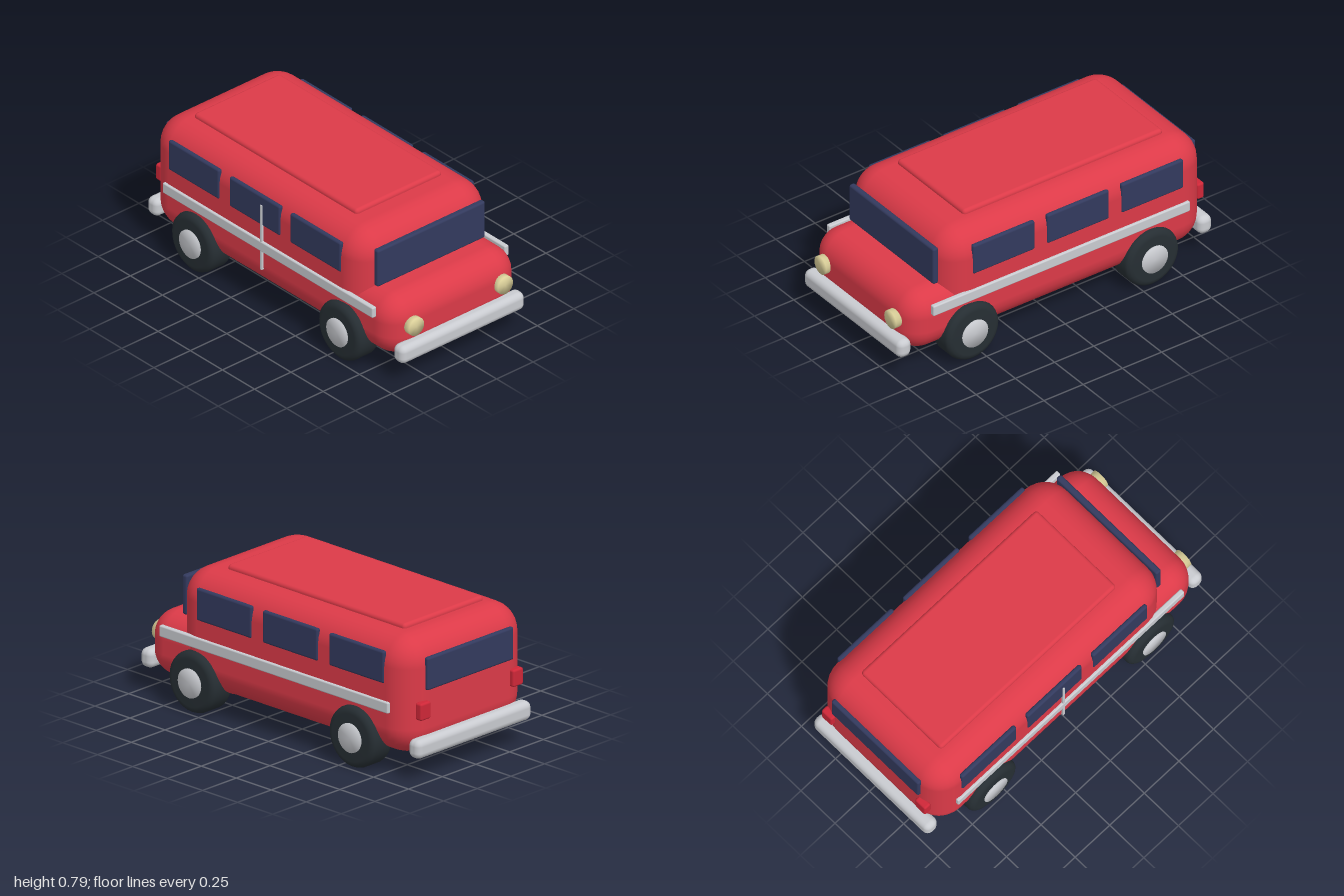
import * as THREE from 'three';
import { RoundedBoxGeometry } from 'three/addons/geometries/RoundedBoxGeometry.js';
import { mergeVertices } from 'three/addons/utils/BufferGeometryUtils.js';

function material(name, color) {
  const m = new THREE.MeshStandardMaterial({ color });
  m.name = name;
  return m;
}

export function createModel() {
  const red = material('body red', 0xdc3a48);
  const lampRed = material('tail lamp red', 0xcf2738);
  const glass = material('dark blue glass', 0x333a5e);
  const chrome = material('chrome', 0xc9cbd0);
  const rubber = material('rubber', 0x262e33);
  const cream = material('headlight cream', 0xdbd09a);

  const van = new THREE.Group();
  van.name = 'van';

  function add(name, geometry, mat, x = 0, y = 0, z = 0, parent = van) {
    const mesh = new THREE.Mesh(geometry, mat);
    mesh.name = name;
    mesh.position.set(x, y, z);
    parent.add(mesh);
    return mesh;
  }

  // Rounded box given by its extents along each axis
  function block(name, mat, [x0, x1], [y0, y1], [z0, z1], radius, segments = 3) {
    const geometry = new RoundedBoxGeometry(x1 - x0, y1 - y0, z1 - z0, segments, radius);
    return add(name, geometry, mat, (x0 + x1) / 2, (y0 + y1) / 2, (z0 + z1) / 2);
  }

  // Short cylinder with softened normals, so that it shades like a dome
  function softDisc(radius, depth) {
    const g = new THREE.CylinderGeometry(radius, radius, depth, 32);
    g.deleteAttribute('normal');
    g.deleteAttribute('uv');
    const soft = mergeVertices(g);
    soft.computeVertexNormals();
    return soft;
  }

  // Body shell, bonnet and raised roof panel
  block('cabin', red, [-0.95, 0.72], [0.11, 0.765], [-0.455, 0.455], 0.16, 4);
  block('bonnet', red, [0.25, 0.945], [0.11, 0.47], [-0.447, 0.447], 0.14, 4);
  block('roofPanel', red, [-0.775, 0.495], [0.74, 0.79], [-0.295, 0.295], 0.02);

  // Front and rear glass
  block('windscreen', glass, [0.71, 0.745], [0.47, 0.69], [-0.37, 0.37], 0.012);
  block('rearWindow', glass, [-0.965, -0.935], [0.48, 0.66], [-0.32, 0.32], 0.012);

  // Side windows and trim
  for (const side of [1, -1]) {
    const span = (a, b) => (side > 0 ? [a, b] : [-b, -a]);
    for (const x of [-0.587, -0.113, 0.36]) {
      block('sideWindow', glass, [x - 0.197, x + 0.197], [0.51, 0.688], span(0.435, 0.462), 0.012);
    }
    block('sideTrim', chrome, [-0.82, 0.815], [0.355, 0.417], span(0.44, 0.469), 0.008);
  }

  // Upright door rail, on one side only
  add('doorRail', new THREE.BoxGeometry(0.012, 0.39, 0.02), chrome, -0.055, 0.44, 0.457);

  // Bumpers
  block('frontBumper', chrome, [0.915, 1], [0.13, 0.235], [-0.425, 0.425], 0.035);
  block('rearBumper', chrome, [-1, -0.915], [0.13, 0.235], [-0.425, 0.425], 0.035);

  // Lamps
  const headlight = softDisc(0.052, 0.05);
  for (const side of [1, -1]) {
    add('headlight', headlight, cream, 0.948, 0.312, side * 0.305).rotation.z = -Math.PI / 2;
    const z = side * 0.343;
    block('tailLamp', lampRed, [-0.975, -0.93], [0.33, 0.425], [z - 0.038, z + 0.038], 0.012);
  }

  // Wheels: rounded tyre turned about its axle, with a hubcap on the outside
  const profile = [
    [0, -0.078], [0.13, -0.078], [0.148, -0.073], [0.162, -0.062], [0.168, -0.045],
    [0.168, 0.045], [0.162, 0.062], [0.148, 0.073], [0.13, 0.078], [0, 0.078],
  ].map(([r, h]) => new THREE.Vector2(r, h));
  const tyre = new THREE.LatheGeometry(profile, 32);
  const hubcap = softDisc(0.08, 0.04);
  for (const x of [-0.575, 0.57]) {
    for (const side of [1, -1]) {
      const wheel = new THREE.Group();
      wheel.name = 'wheel';
      wheel.position.set(x, 0.168, side * 0.413);
      wheel.rotation.x = side * Math.PI / 2;
      van.add(wheel);
      add('tyre', tyre, rubber, 0, 0, 0, wheel);
      add('hubcap', hubcap, chrome, 0, 0.067, 0, wheel);
    }
  }

  return van;
}
